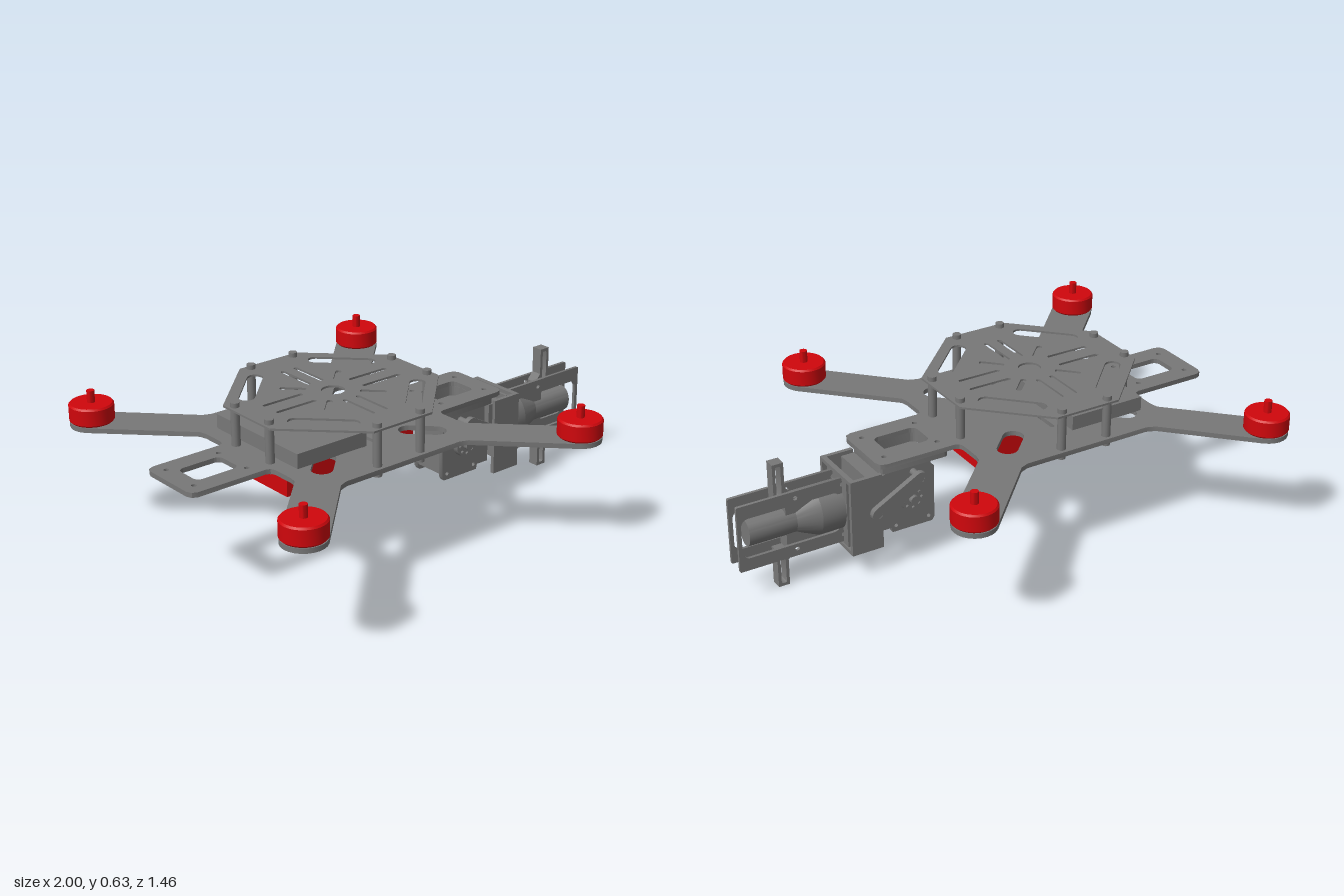
import * as THREE from 'three';
import { toCreasedNormals } from 'three/addons/utils/BufferGeometryUtils.js';

const CX = -0.264; // centre of the airframe
const grey = new THREE.MeshStandardMaterial({ color: 0x787878, side: THREE.DoubleSide });
const red = new THREE.MeshStandardMaterial({ color: 0xd0060c });

export function createModel() {
  const model = new THREE.Group();

  const add = (name, geo, x = 0, y = 0, z = 0, mat = grey) => {
    const mesh = new THREE.Mesh(geo, mat);
    mesh.name = name;
    mesh.position.set(x, y, z);
    model.add(mesh);
    return mesh;
  };
  // Box given by its lower and upper corners
  const box = (name, x0, x1, y0, y1, z0, z1, mat = grey) =>
    add(name, new THREE.BoxGeometry(x1 - x0, y1 - y0, z1 - z0), (x0 + x1) / 2, (y0 + y1) / 2, (z0 + z1) / 2, mat);
  const shapeOf = pts => new THREE.Shape(pts.map(([x, y]) => new THREE.Vector2(x, y)));
  const extrude = (shape, depth) =>
    toCreasedNormals(new THREE.ExtrudeGeometry(shape, { depth, bevelEnabled: false, curveSegments: 8 }), 0.6);
  const flat = (shape, depth) => extrude(shape, depth).rotateX(-Math.PI / 2);

  // Rounded slot outline, centred on (cx, cy) and turned by angle
  const slot = (cx, cy, len, w, angle = 0) => {
    const p = new THREE.Path(), r = w / 2, h = len / 2 - r;
    const c = Math.cos(angle), s = Math.sin(angle);
    p.absarc(cx + c * h, cy + s * h, r, angle - Math.PI / 2, angle + Math.PI / 2);
    p.absarc(cx - c * h, cy - s * h, r, angle + Math.PI / 2, angle + 1.5 * Math.PI);
    p.closePath();
    return p;
  };
  const hole = (x, y, r) => {
    const p = new THREE.Path();
    p.absarc(x, y, r, 0, Math.PI * 2);
    return p;
  };
  const roundRect = (x0, x1, y0, y1, r, Type = THREE.Path) => {
    const p = new Type();
    p.absarc(x1 - r, y0 + r, r, -Math.PI / 2, 0);
    p.absarc(x1 - r, y1 - r, r, 0, Math.PI / 2);
    p.absarc(x0 + r, y1 - r, r, Math.PI / 2, Math.PI);
    p.absarc(x0 + r, y0 + r, r, Math.PI, Math.PI * 1.5);
    p.closePath();
    return p;
  };
  // Mirror one counterclockwise quadrant into a full outline
  const fourfold = q => {
    const flip = (sx, sy) => q.map(([x, y]) => [x * sx, y * sy]);
    return shapeOf([...q, ...flip(-1, 1).reverse(), ...flip(-1, -1), ...flip(1, -1).reverse()]);
  };
  const signs = [[1, 1], [-1, 1], [-1, -1], [1, -1]];

  // Lower plate with four arms and two end tabs
  const arm = [];
  for (let i = 0; i <= 12; i++) {
    const a = -Math.PI / 4 + (i / 12) * Math.PI;
    arm.push([0.641 + 0.083 * Math.cos(a), 0.643 + 0.083 * Math.sin(a)]);
  }
  const lower = fourfold([
    [0.735, 0.11], [0.726, 0.131], [0.705, 0.14], [0.42, 0.14], [0.402, 0.147], [0.395, 0.165],
    [0.395, 0.255], [0.402, 0.285], ...arm, [0.3, 0.413], [0.265, 0.4]]);
  for (const [sx, sy] of signs) {
    lower.holes.push(
      slot(sx * 0.233, sy * 0.233, 0.18, 0.08, Math.atan2(sy, sx)),
      slot(sx * 0.03, sy * 0.165, 0.1, 0.018, Math.PI / 2),
      hole(sx * 0.685, sy * 0.085, 0.01), hole(sx * 0.46, sy * 0.085, 0.01));
  }
  lower.holes.push(roundRect(0.475, 0.655, -0.06, 0.06, 0.025), roundRect(-0.655, -0.475, -0.06, 0.06, 0.025));
  add('lowerPlate', flat(lower, 0.019), CX, 0.439);

  // Octagonal upper plate with a pattern of slots
  const upper = fourfold([[0.395, 0.14], [0.135, 0.395]]);
  for (const [sx, sy] of signs) {
    const a = Math.atan2(sy, sx);
    upper.holes.push(
      slot(sx * 0.2, sy * 0.04, 0.18, 0.018),
      slot(sx * 0.03, sy * 0.185, 0.17, 0.018, Math.PI / 2),
      slot(sx * 0.105, sy * 0.105, 0.1, 0.022, a),
      slot(sx * 0.215, sy * 0.215, 0.26, 0.06, a + Math.PI / 2));
  }
  upper.holes.push(hole(0, 0, 0.045));
  add('upperPlate', flat(upper, 0.008), CX, 0.6);

  // Standoffs and motors
  const post = new THREE.CylinderGeometry(0.017, 0.017, 0.206, 12);
  const profile = [[0, 0], [0.078, 0], [0.085, 0.007], [0.085, 0.066], [0.079, 0.073],
    [0.015, 0.073], [0.015, 0.12], [0, 0.12]].map(p => new THREE.Vector2(...p));
  const motor = toCreasedNormals(new THREE.LatheGeometry(profile, 32), 0.6);
  for (const [sx, sz] of signs) {
    add('standoff', post, CX + sx * 0.1, 0.523, sz * 0.371);
    add('standoff', post, CX + sx * 0.37, 0.523, sz * 0.102);
    add('motor', motor, CX + sx * 0.641, 0.458, sz * 0.643, red);
  }

  // Electronics and battery
  box('controllerBox', -0.595, -0.28, 0.457, 0.515, -0.275, 0.21);
  box('battery', -0.565, 0.035, 0.302, 0.44, -0.105, 0.105, red);

  // Servo mount hanging below the +x tab
  const mount = roundRect(0.16, 0.45, -0.11, 0.11, 0.02, THREE.Shape);
  mount.holes.push(roundRect(0.21, 0.39, -0.06, 0.06, 0.025));
  add('mountPlate', flat(mount, 0.04), 0, 0.4);
  box('servoBody', 0.211, 0.43, 0.15, 0.4, -0.061, 0.061);
  const cheek = shapeOf([[0.21, 0.14], [0.22, 0.125], [0.39, 0.125], [0.395, 0.145], [0.45, 0.145],
    [0.45, 0.37], [0.42, 0.4], [0.25, 0.4], [0.21, 0.36]]);
  cheek.holes.push(hole(0.235, 0.15, 0.008), hole(0.375, 0.15, 0.008));
  const cheekGeo = extrude(cheek, 0.02);
  const linkShape = new THREE.Shape(slot(0.39, 0.31, 0.26, 0.06, -0.5).getPoints(8));
  linkShape.holes.push(hole(0.3, 0.36, 0.012), hole(0.48, 0.26, 0.012));
  const linkGeo = extrude(linkShape, 0.022);
  const disc = (r, h, n) => new THREE.CylinderGeometry(r, r, h, n).rotateX(Math.PI / 2);
  for (const s of [1, -1]) {
    add('servoCheek', cheekGeo, 0, 0, s * 0.072 - 0.01);
    add('linkArm', linkGeo, 0, 0, s * 0.139 - 0.011);
    add('servoHub', disc(0.05, 0.03, 24), 0.315, 0.26, s * 0.092);
    add('hubScrew', disc(0.018, 0.02, 10), 0.315, 0.26, s * 0.115);
    for (let i = 0; i < 8; i++) {
      const a = i * Math.PI / 4;
      add('hubTooth', disc(0.007, 0.012, 6), 0.315 + 0.036 * Math.cos(a), 0.26 + 0.036 * Math.sin(a), s * 0.11);
    }
    add('linkPin', disc(0.014, 0.068, 12), 0.3, 0.36, s * 0.115);
    add('linkPin', disc(0.014, 0.04, 12), 0.48, 0.26, s * 0.128);

    // Pivoting bracket sides
    box('bracketSide', 0.45, 0.58, 0.1, 0.41, s * 0.112 - 0.008, s * 0.112 + 0.008);
  }
  box('bracketBridge', 0.43, 0.5, 0.3, 0.395, -0.106, 0.106);
  box('bracketTop', 0.56, 0.58, 0.395, 0.41, -0.112, 0.112);
  box('bracketBottom', 0.56, 0.58, 0.1, 0.115, -0.112, 0.112);
  box('bracketCore', 0.55, 0.575, 0.115, 0.395, -0.075, 0.075);
  box('bracketArm', 0.42, 0.55, 0.2, 0.32, -0.045, 0.045);

  // Twin frame plates with a window, around a solid core
  const frame = roundRect(0.56, 0.997, 0.125, 0.395, 0.006, THREE.Shape);
  frame.holes.push(roundRect(0.585, 0.982, 0.175, 0.34, 0.03));
  for (const x of [0.575, 0.765]) for (const y of [0.155, 0.367]) frame.holes.push(hole(x, y, 0.009));
  const frameGeo = extrude(frame, 0.012);
  for (const s of [1, -1]) add('framePlate', frameGeo, 0, 0, s * 0.036 - 0.006);
  box('frameCore', 0.575, 0.8, 0.15, 0.36, -0.028, 0.028);

  // Barrel tapering to a rod
  const barrel = [[0, 0.57], [0.09, 0.57], [0.09, 0.67], [0.053, 0.76], [0.053, 0.95], [0, 0.95]];
  const barrelGeo = new THREE.LatheGeometry(barrel.map(p => new THREE.Vector2(...p)), 32);
  const barrelMesh = add('barrel', toCreasedNormals(barrelGeo.rotateZ(-Math.PI / 2), 0.3), 0, 0.258, 0);
  barrelMesh.scale.z = 0.8;

  // Upper and lower hollow jaws
  const jaw = shapeOf([[0.77, 0.1], [0.84, 0.1], [0.84, 0.255], [0.795, 0.255], [0.795, 0.15], [0.77, 0.12]]);
  jaw.holes.push(roundRect(0.807, 0.828, 0.11, 0.243, 0.005));
  const jawGeo = extrude(jaw, 0.044).translate(0, 0, -0.022);
  add('upperJaw', jawGeo, 0, 0.258, 0);
  add('lowerJaw', jawGeo, 0, 0.255, 0).rotation.x = Math.PI;

  return model;
}
